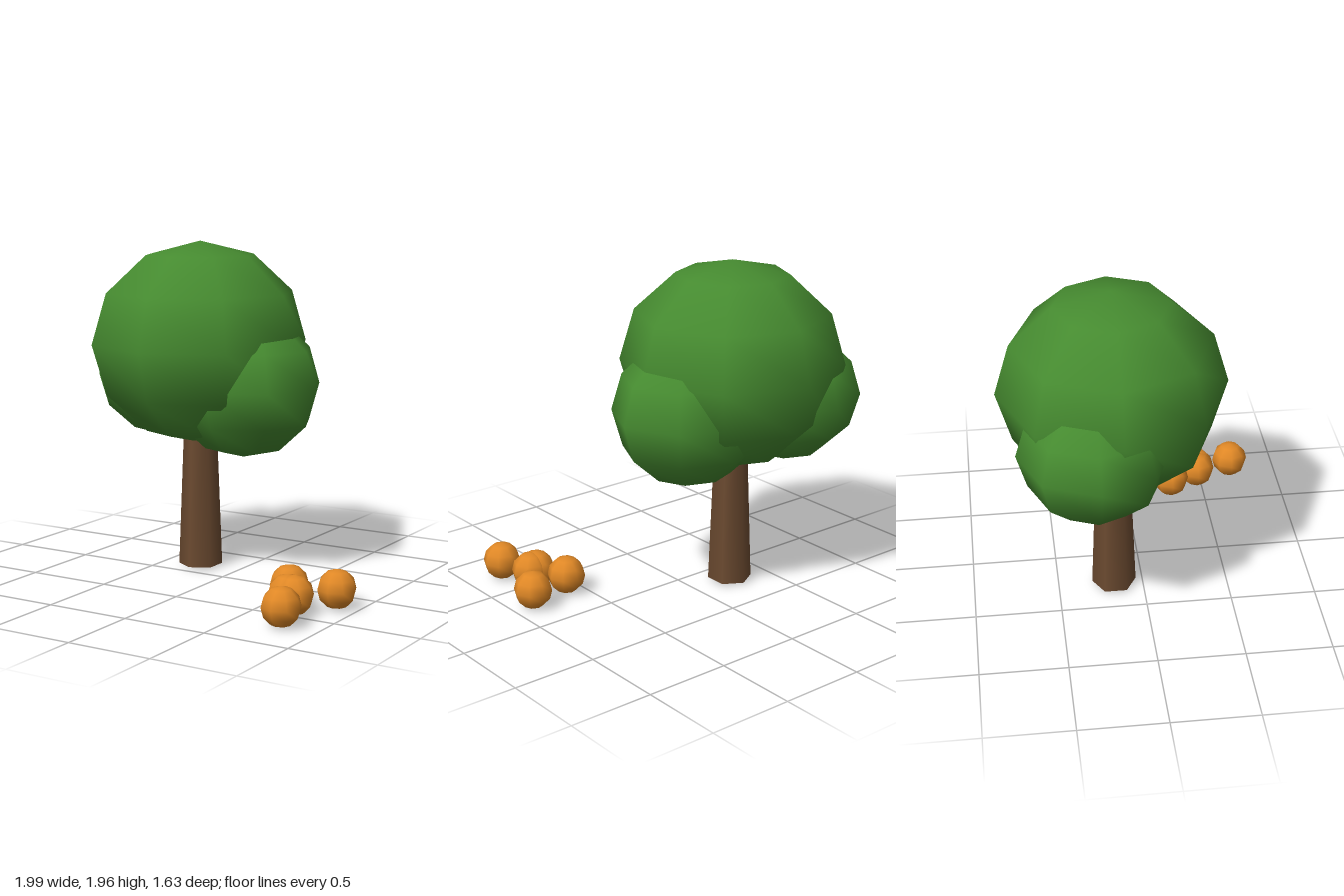
import * as THREE from 'three';

export function createModel() {
  const group = new THREE.Group();
  const material = (name, color) => {
    const m = new THREE.MeshStandardMaterial({ color });
    m.name = name;
    return m;
  };
  const leafGreen = material('leafGreen', 0x468b30);
  const barkBrown = material('barkBrown', 0x6b4a30);
  const fruitOrange = material('fruitOrange', 0xe08826);

  const add = (name, geometry, mat, x, y, z) => {
    const mesh = new THREE.Mesh(geometry, mat);
    mesh.name = name;
    mesh.position.set(x, y, z);
    group.add(mesh);
  };
  // Low-poly ball stretched to its three radii
  const ball = (rx, ry, rz) => new THREE.SphereGeometry(1, 8, 6).scale(rx, ry, rz);

  // Tapered six-sided trunk, its top hidden in the crown
  const bottom = 0.016, height = 0.9;
  add('trunk', new THREE.CylinderGeometry(0.096, 0.13, height, 6), barkBrown,
    -0.26, bottom + height / 2, -0.17);

  // Foliage: main crown and two side clumps
  add('crown', ball(0.65, 0.6, 0.65), leafGreen, -0.26, 1.36, -0.17);
  add('leftFoliage', ball(0.48, 0.43, 0.43), leafGreen, 0.04, 1.13, -0.17);
  add('rightFoliage', ball(0.43, 0.39, 0.43), leafGreen, -0.57, 1.15, -0.3);

  // Fallen fruit on the ground
  const fruit = ball(0.112, 0.112, 0.112);
  [[0.61, 0.29], [0.88, 0.24], [0.7, 0.47], [0.74, 0.47], [0.79, 0.7]]
    .forEach(([x, z], i) => add('fruit' + (i + 1), fruit, fruitOrange, x, 0.115, z));

  return group;
}
